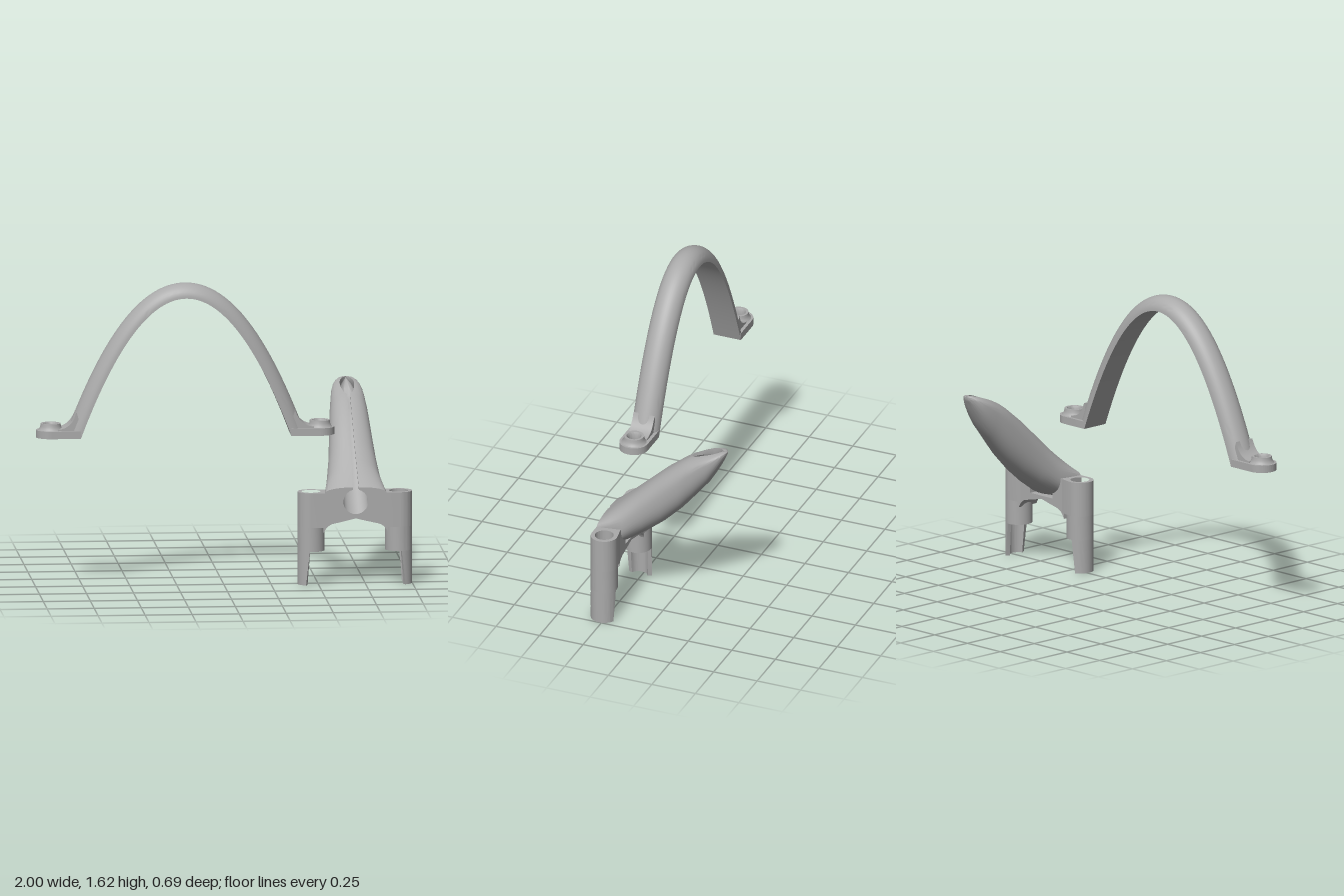
import * as THREE from 'three';
import { toCreasedNormals } from 'three/addons/utils/BufferGeometryUtils.js';

const grey = new THREE.MeshStandardMaterial({ color: 0xaaaaaa });
grey.name = 'grey';

function part(name, geometry) {
  const mesh = new THREE.Mesh(toCreasedNormals(geometry, 0.6), grey);
  mesh.name = name;
  return mesh;
}

// Closed solid through 2D rings; place(a, b, i) puts a ring point in space
function loft(rings, place) {
  const pos = [], index = [], n = rings[0].length;
  const flat = rings.map(r => {
    const v = r.map(p => new THREE.Vector2(p[0], p[1]));
    return THREE.ShapeUtils.isClockWise(v) ? v.reverse() : v;
  });
  flat.forEach((r, i) => r.forEach(p => pos.push(...place(p.x, p.y, i))));
  for (let i = 0; i < rings.length - 1; i++) {
    for (let j = 0; j < n; j++) {
      const a = i * n + j, b = i * n + (j + 1) % n;
      index.push(a, b, b + n, a, b + n, a + n);
    }
  }
  const end = (rings.length - 1) * n;
  for (const [a, b, c] of THREE.ShapeUtils.triangulateShape(flat[0], [])) index.push(c, b, a);
  for (const [a, b, c] of THREE.ShapeUtils.triangulateShape(flat[rings.length - 1], [])) {
    index.push(end + a, end + b, end + c);
  }
  // Turn the faces outward if the enclosed volume is negative
  const v = k => new THREE.Vector3(pos[3 * k], pos[3 * k + 1], pos[3 * k + 2]);
  let volume = 0;
  for (let k = 0; k < index.length; k += 3) {
    volume += v(index[k]).dot(v(index[k + 1]).cross(v(index[k + 2])));
  }
  if (volume < 0) index.reverse();
  const g = new THREE.BufferGeometry();
  g.setAttribute('position', new THREE.Float32BufferAttribute(pos, 3));
  g.setIndex(index);
  return g;
}

// Plan shape (x, z) raised from y0 to y1
function slab(shape, y0, y1) {
  const g = new THREE.ExtrudeGeometry(shape, { depth: y1 - y0, bevelEnabled: false, curveSegments: 24 });
  return g.rotateX(Math.PI / 2).translate(0, y1, 0);
}

function circleHole(x, z, r) {
  return new THREE.Path().absarc(x, z, r, 0, Math.PI * 2, true);
}

function createArch() {
  const arch = new THREE.Group();
  arch.name = 'arch';
  arch.position.set(-0.207, 0, 0.268);

  // Parabolic bow: flat inside, rounded outside
  const steps = 64, half = 0.078, rings = [];
  const section = [];
  for (let k = 0; k <= 20; k++) {
    const a = Math.PI * k / 20;
    section.push([half * Math.cos(a), 0.074 * Math.sin(a)]);
  }
  for (let i = 0; i <= steps; i++) rings.push(section);
  arch.add(part('bow', loft(rings, (z, n, i) => {
    const x = 0.56 * (2 * i / steps - 1), slope = 4.75 * x, len = Math.hypot(1, slope);
    return [x + n * slope / len, 1.55 - 2.375 * x * x + n / len, z];
  })));

  for (const turn of [0, Math.PI]) {
    const foot = new THREE.Group();
    foot.name = turn ? 'rightFoot' : 'leftFoot';
    foot.rotation.y = turn;
    const plan = new THREE.Shape();
    plan.moveTo(0.56, -half);
    plan.lineTo(0.715, -half);
    plan.absarc(0.715, 0, half, -Math.PI / 2, Math.PI / 2, false);
    plan.lineTo(0.56, half);
    plan.holes.push(circleHole(0.715, 0, 0.033));
    foot.add(part('footPlate', slab(plan, 0.805, 0.845)));

    // Raised ring around the screw hole
    const profile = [[0.033, 0.84], [0.072, 0.84], [0.06, 0.852], [0.055, 0.865], [0.053, 0.88], [0.04, 0.88], [0.033, 0.866], [0.033, 0.84]];
    const boss = new THREE.LatheGeometry(profile.map(p => new THREE.Vector2(...p)), 32);
    foot.add(part('screwBoss', boss.translate(0.715, 0, 0)));

    // Fillet between plate and bow
    const web = new THREE.Shape();
    web.moveTo(0.55, 0.84);
    web.lineTo(0.68, 0.84);
    web.lineTo(0.68, 0.853);
    web.quadraticCurveTo(0.61, 0.855, 0.58, 0.94);
    const fillet = new THREE.ExtrudeGeometry(web, { depth: 0.12, bevelEnabled: false });
    foot.add(part('fillet', fillet.translate(0, 0, -0.06)));
    arch.add(foot);
  }
  return arch;
}

// Keyhole cross-section of the arm: oval body, slit and round channel
function armSection([, top, seam, bottom, w, slit, r]) {
  const ring = [], p = 0.85;
  const a0 = Math.asin(Math.pow(slit / w, 1 / p)), b0 = Math.asin(slit / r);
  for (let k = 0; k <= 48; k++) {
    const a = a0 + (2 * Math.PI - 2 * a0) * k / 48, s = Math.sin(a), c = Math.cos(a);
    ring.push([
      w * Math.sign(s) * Math.pow(Math.abs(s), p),
      seam + (c > 0 ? top - seam : seam - bottom) * Math.sign(c) * Math.pow(Math.abs(c), p)
    ]);
  }
  const cy = top - r - Math.min(0.012, 0.1 * (top - bottom));
  for (let k = 0; k <= 24; k++) {
    const b = -b0 - (2 * Math.PI - 2 * b0) * k / 24;
    ring.push([r * Math.sin(b), cy + r * Math.cos(b)]);
  }
  return ring;
}

function createBracket() {
  const bracket = new THREE.Group();
  bracket.name = 'bracket';
  bracket.position.x = 0.695;

  // Rows: z, top, widest height, bottom, half width, slit half width, channel radius
  const rows = [
    [0.335, 0.525, 0.49, 0.358, 0.165, 0.016, 0.066],
    [0.27, 0.587, 0.492, 0.37, 0.158, 0.014, 0.065],
    [0.2, 0.652, 0.5, 0.39, 0.146, 0.012, 0.062],
    [0.1, 0.747, 0.6, 0.455, 0.128, 0.01, 0.058],
    [0, 0.84, 0.7, 0.535, 0.116, 0.009, 0.052],
    [-0.1, 0.92, 0.8, 0.635, 0.106, 0.008, 0.047],
    [-0.145, 0.95, 0.85, 0.69, 0.1, 0.008, 0.045],
    [-0.17, 0.962, 0.875, 0.72, 0.096, 0.026, 0.044],
    [-0.21, 0.982, 0.915, 0.77, 0.09, 0.036, 0.044],
    [-0.25, 0.998, 0.945, 0.82, 0.083, 0.039, 0.043],
    [-0.28, 1.007, 0.967, 0.87, 0.074, 0.034, 0.038],
    [-0.305, 1.013, 0.985, 0.915, 0.062, 0.022, 0.026],
    [-0.325, 1.016, 0.998, 0.955, 0.046, 0.002, 0.003],
    [-0.338, 1.016, 1.005, 0.985, 0.027, 0.001, 0.0015],
    [-0.345, 1.013, 1.008, 0.998, 0.01, 0.001, 0.0015]
  ];
  bracket.add(part('arm', loft(rows.map(armSection), (x, y, i) => [x, y, rows[i][0]])));

  const zc = 0.263, R = 0.072;
  for (const s of [1, -1]) {
    const side = new THREE.Group();
    side.name = s > 0 ? 'leftSide' : 'rightSide';
    const cx = s * 0.233;

    // Upper post block, round outside and square toward the arm
    const block = new THREE.Shape();
    block.moveTo(s * 0.16, zc - 0.06);
    block.lineTo(cx, zc - R);
    block.absarc(cx, zc, R, -Math.PI / 2, Math.PI / 2, s < 0);
    block.lineTo(s * 0.16, zc + R);
    block.holes.push(circleHole(cx, zc, 0.05));
    side.add(part('postBlock', slab(block, 0.31, 0.495)));

    // Round tube below the block
    const tube = new THREE.Shape().absarc(cx, zc, R, 0, Math.PI * 2, false);
    tube.holes.push(circleHole(cx, zc, 0.05));
    side.add(part('postTube', slab(tube, 0.18, 0.312)));

    // Tapering shell leg on the outer side
    const arcs = [0, 0.09, 0.182].map(y => {
      const spread = 1.13 + 1.6 * y, ring = [];
      for (let k = 0; k <= 20; k++) {
        const a = spread * (k / 10 - 1);
        ring.push([cx + s * R * Math.cos(a), zc + R * Math.sin(a)]);
      }
      for (let k = 20; k >= 0; k--) {
        const a = spread * (k / 10 - 1);
        ring.push([cx + s * 0.05 * Math.cos(a), zc + 0.05 * Math.sin(a)]);
      }
      return ring;
    });
    side.add(part('shellLeg', loft(arcs, (x, z, i) => [x, 0.091 * i, z])));

    // Bridge half with an arched underside, clear of the channel mouth
    const bridge = new THREE.Shape();
    bridge.moveTo(s * 0.172, 0.495);
    bridge.lineTo(s * 0.172, 0.28);
    bridge.quadraticCurveTo(s * 0.155, 0.32, s * 0.12, 0.33);
    bridge.quadraticCurveTo(s * 0.05, 0.345, 0, 0.358);
    bridge.lineTo(0, 0.375);
    bridge.lineTo(s * 0.085, 0.375);
    bridge.lineTo(s * 0.085, 0.495);
    const web = new THREE.ExtrudeGeometry(bridge, { depth: 0.13, bevelEnabled: false });
    side.add(part('bridge', web.translate(0, 0, 0.204)));
    bracket.add(side);
  }
  return bracket;
}

export function createModel() {
  const model = new THREE.Group();
  model.name = 'archAndBracket';
  model.add(createArch(), createBracket());
  return model;
}
